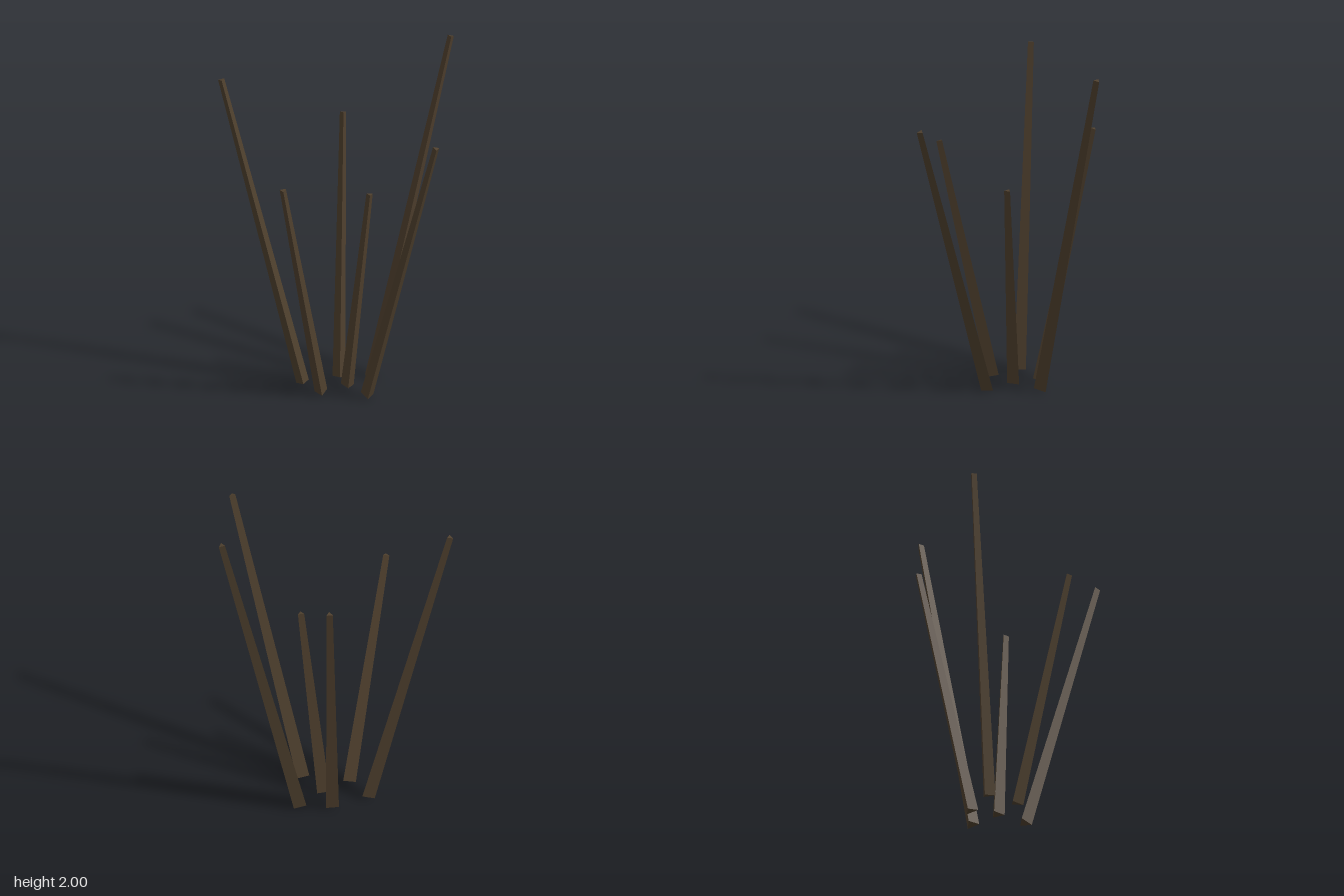
import * as THREE from 'three';

// Six leaning, tapered three-sided stakes: [base x, z], [tip x, z], tip height
const STAKES = [
  { name: 'leftBackStake', base: [-0.212, -0.163], tip: [-0.672, -0.29], top: 1.837 },
  { name: 'leftFrontStake', base: [-0.12, 0.007], tip: [-0.365, 0.288], top: 1.362 },
  { name: 'backStake', base: [0.005, -0.242], tip: [0.053, -0.544], top: 1.522 },
  { name: 'rightBackStake', base: [0.19, -0.22], tip: [0.67, -0.475], top: 1.995 },
  { name: 'rightFrontStake', base: [0.14, 0.08], tip: [0.5, 0.528], top: 1.68 },
  { name: 'centreStake', base: [0.04, -0.087], tip: [0.163, -0.03], top: 1.203 },
];
const BASE_RADIUS = 0.043;
const TIP_RADIUS = 0.021;
const BASE_Y = 0.012;

export function createModel() {
  const group = new THREE.Group();
  group.name = 'stakes';
  const wood = new THREE.MeshStandardMaterial({ color: 0x4e3f2d, flatShading: true });
  wood.name = 'dark wood';
  const up = new THREE.Vector3(0, 1, 0);

  for (const { name, base, tip, top } of STAKES) {
    const start = new THREE.Vector3(base[0], BASE_Y, base[1]);
    const end = new THREE.Vector3(tip[0], top, tip[1]);
    const axis = end.clone().sub(start);

    // triangular prism tapering toward the tip, tilted onto its axis
    const stake = new THREE.Mesh(
      new THREE.CylinderGeometry(TIP_RADIUS, BASE_RADIUS, axis.length(), 3),
      wood
    );
    stake.name = name;
    stake.position.copy(start).add(end).multiplyScalar(0.5);
    stake.quaternion.setFromUnitVectors(up, axis.normalize());
    group.add(stake);
  }
  return group;
}
